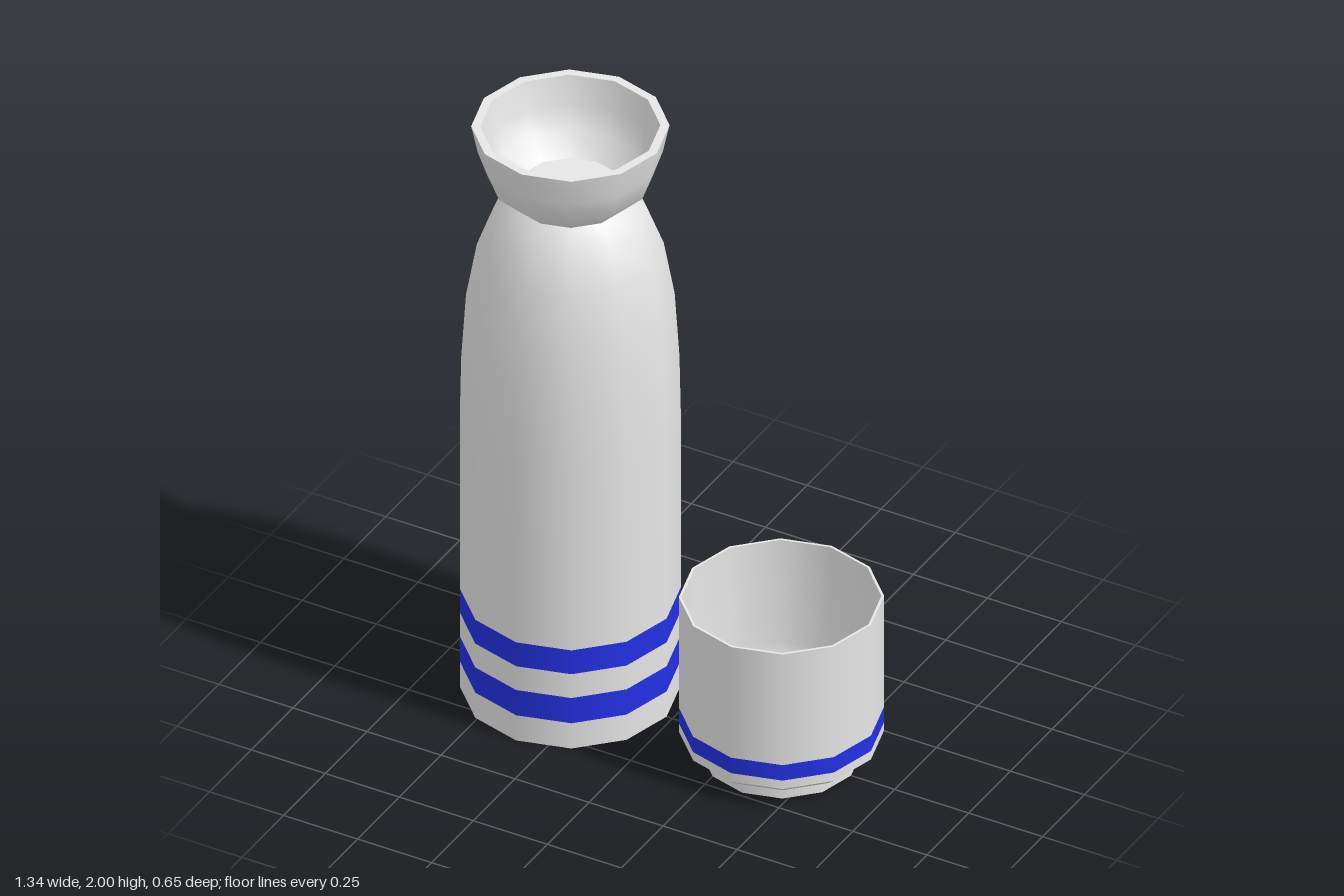
import * as THREE from 'three';

const SIDES = 12;

export function createModel() {
  const porcelain = new THREE.MeshStandardMaterial({ color: 0xe6e6e6 });
  const blue = new THREE.MeshStandardMaterial({ color: 0x2430e4 });

  // One smooth turned surface; points run up the outside and down the inside.
  const turn = (parent, name, points, material = porcelain) => {
    const profile = points.map(([r, y]) => new THREE.Vector2(r, y));
    const mesh = new THREE.Mesh(new THREE.LatheGeometry(profile, SIDES), material);
    mesh.name = name;
    parent.add(mesh);
  };

  // Straight wall cut into alternating porcelain and blue bands.
  const bandedWall = (parent, name, r, heights) => {
    for (let i = 0; i < heights.length - 1; i++) {
      const painted = i % 2 === 1;
      turn(parent, painted ? name + 'Stripe' : name + 'Wall',
        [[r, heights[i]], [r, heights[i + 1]]], painted ? blue : porcelain);
    }
  };

  const model = new THREE.Group();
  model.name = 'bottleAndCup';

  // Tall bottle with two stripes and a bowl-shaped mouth
  const bottle = new THREE.Group();
  bottle.name = 'bottle';
  bottle.position.x = -0.345;
  turn(bottle, 'bottleBase', [[0, 0], [0.325, 0]]);
  bandedWall(bottle, 'bottle', 0.325, [0, 0.09, 0.18, 0.265, 0.35, 0.6]);
  turn(bottle, 'bottleBody', [
    [0.325, 0.6], [0.325, 0.98], [0.321, 1.18], [0.307, 1.4],
    [0.275, 1.58], [0.228, 1.7], [0.178, 1.757],
  ]);
  turn(bottle, 'mouthOutside', [
    [0.178, 1.757], [0.243, 1.82], [0.272, 1.905], [0.292, 2],
  ]);
  turn(bottle, 'mouthRim', [[0.292, 2], [0.265, 2]]);
  turn(bottle, 'mouthInside', [
    [0.265, 2], [0.247, 1.91], [0.221, 1.835], [0.16, 1.775],
  ]);
  turn(bottle, 'mouthFloor', [[0.16, 1.775], [0, 1.775]]);
  model.add(bottle);

  // Small cup on a foot ring
  const cup = new THREE.Group();
  cup.name = 'cup';
  cup.position.x = 0.368;
  turn(cup, 'footRecess', [[0, 0.03], [0.195, 0.03]]);
  turn(cup, 'footInside', [[0.195, 0.03], [0.205, 0]]);
  turn(cup, 'footEdge', [[0.205, 0], [0.235, 0]]);
  turn(cup, 'footOutside', [[0.235, 0], [0.235, 0.05]]);
  turn(cup, 'cupUnderside', [[0.235, 0.05], [0.272, 0.055], [0.302, 0.08]]);
  bandedWall(cup, 'cup', 0.302, [0.08, 0.11, 0.165, 0.56]);
  turn(cup, 'cupRim', [[0.302, 0.56], [0.294, 0.56]]);
  turn(cup, 'cupInside', [
    [0.294, 0.56], [0.288, 0.2], [0.27, 0.12], [0.22, 0.085], [0, 0.08],
  ]);

  // Painted ring on the floor of the cup
  const ring = new THREE.Mesh(new THREE.RingGeometry(0.112, 0.182, 40), blue);
  ring.name = 'floorRing';
  ring.rotation.x = -Math.PI / 2;
  ring.position.y = 0.088;
  cup.add(ring);
  model.add(cup);

  return model;
}
